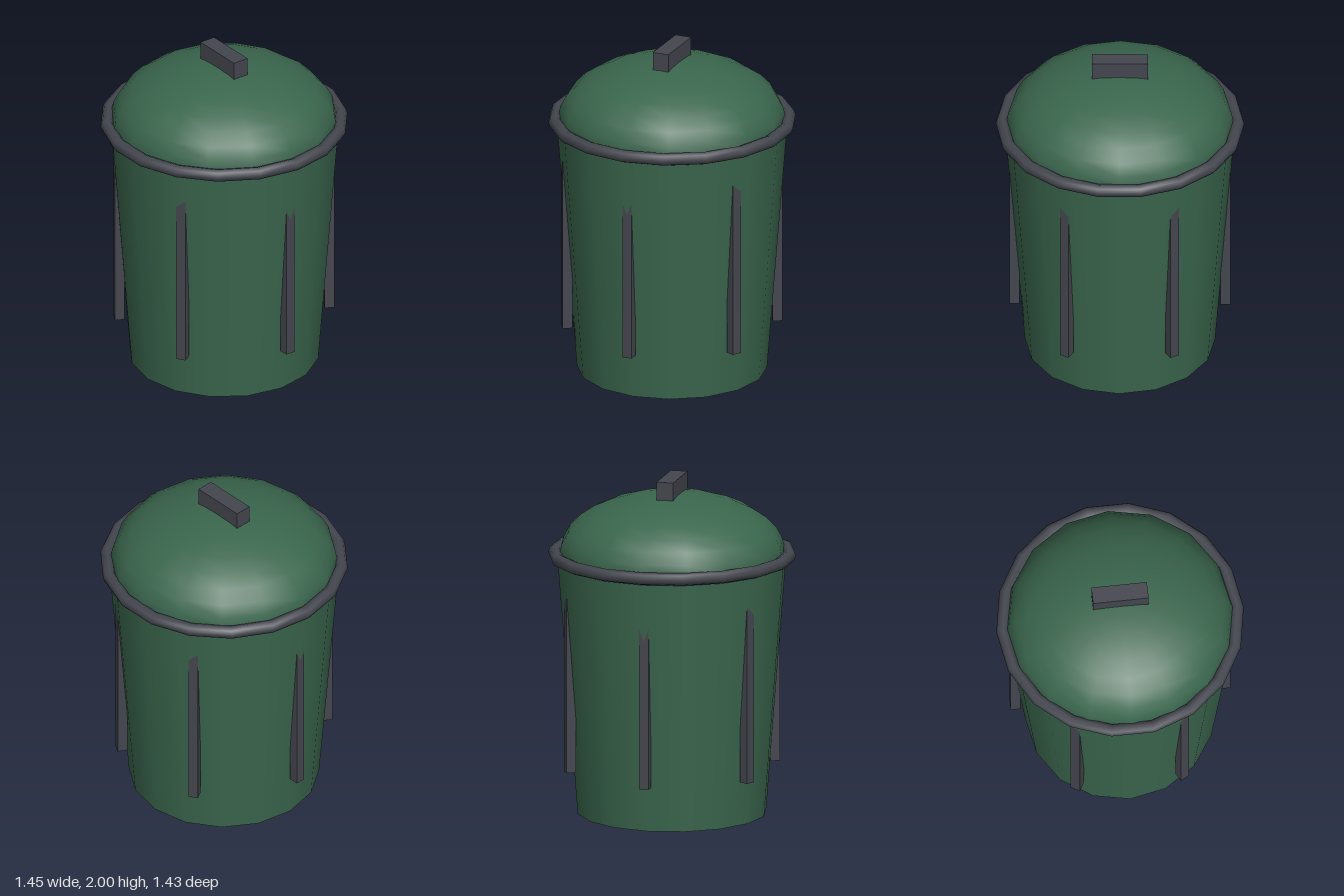
import * as THREE from 'three';

export function createModel() {
  const bin = new THREE.Group();
  bin.name = 'trashCan';

  const green = new THREE.MeshStandardMaterial({ color: 0x3a664d });
  green.name = 'green';
  const darkGrey = new THREE.MeshStandardMaterial({ color: 0x44464e });
  darkGrey.name = 'darkGrey';

  const add = (name, geometry, material, x = 0, y = 0, z = 0) => {
    const mesh = new THREE.Mesh(geometry, material);
    mesh.name = name;
    mesh.position.set(x, y, z);
    bin.add(mesh);
    return mesh;
  };

  // Tapered body, closed at the bottom
  const rimY = 1.54;
  add('body', new THREE.CylinderGeometry(0.675, 0.555, rimY, 16), green, 0, rimY / 2);

  // Rim ring between body and lid
  const rim = new THREE.TorusGeometry(0.688, 0.038, 8, 18);
  rim.rotateX(Math.PI / 2);
  add('rim', rim, darkGrey, 0, rimY);

  // Flattened half-sphere lid
  const dome = new THREE.SphereGeometry(0.665, 16, 8, 0, Math.PI * 2, 0, Math.PI / 2);
  dome.scale(1, 0.55, 1);
  add('lid', dome, green, 0, rimY);

  // Handle block sunk into the top of the lid
  add('handle', new THREE.BoxGeometry(0.326, 0.13, 0.1), darkGrey, 0, 1.935);

  // Six upright ribs whose tops run into the flaring body
  const ribBottom = 0.27, ribTop = 1.38, ribRadius = 0.616;
  const ribGeometry = new THREE.BoxGeometry(0.058, ribTop - ribBottom, 0.058);
  for (let i = 0; i < 6; i++) {
    const a = (i * Math.PI) / 3;
    const rib = add('rib', ribGeometry, darkGrey,
      Math.cos(a) * ribRadius, (ribBottom + ribTop) / 2, Math.sin(a) * ribRadius);
    rib.rotation.y = -a;
  }

  return bin;
}
